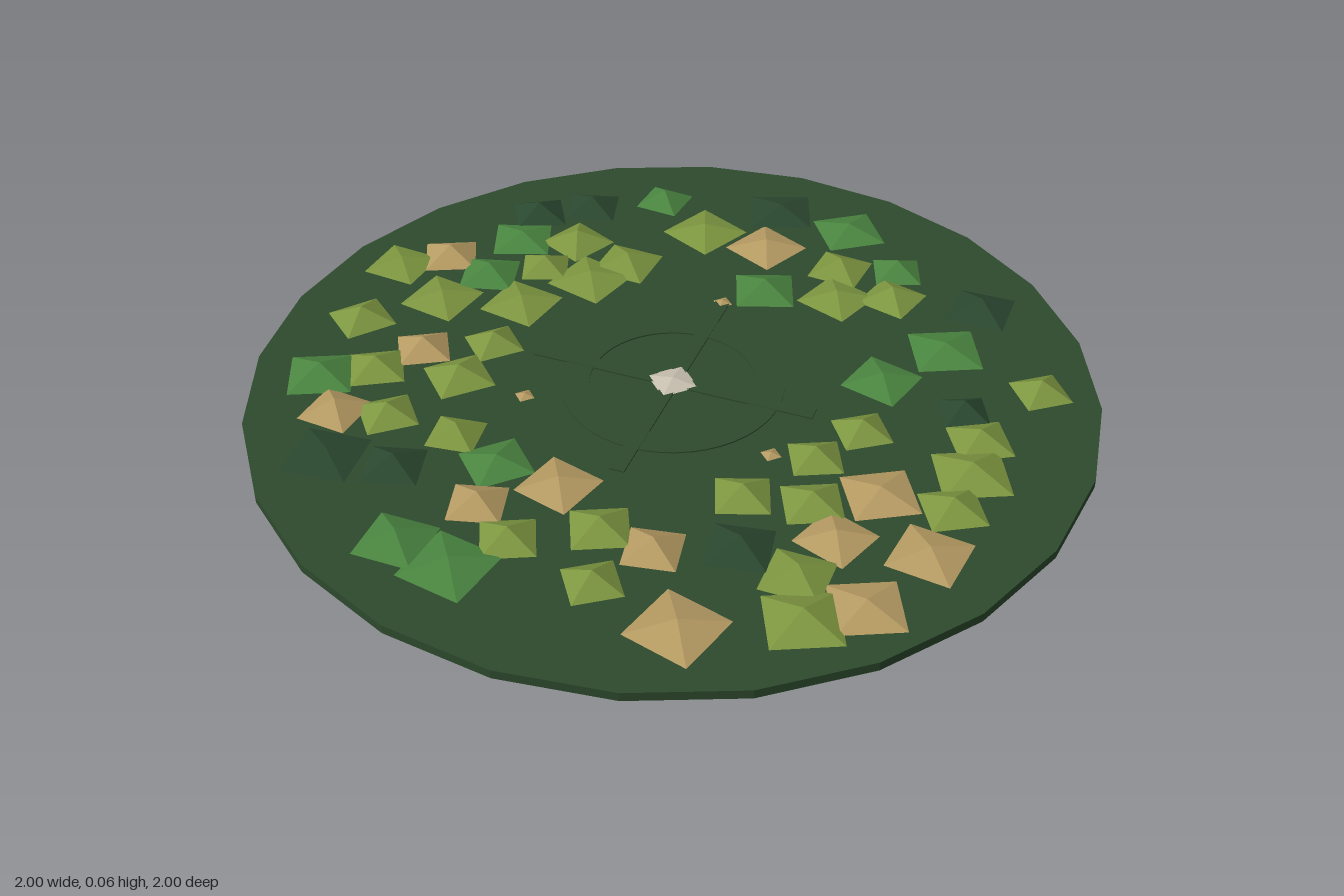
import * as THREE from 'three';

const paint = (name, color) => new THREE.MeshStandardMaterial({ name, color, flatShading: true });
const TOP = 0.022; // ground surface

// Each tent: x, z, half-diagonal, corner angle in degrees
const OLIVE_STEEP = [
  [0.23, -0.6, 0.09, 50], [0.39, -0.52, 0.09, 60], [-0.45, -0.48, 0.095, 70], [-0.29, -0.43, 0.098, 48],
  [-0.48, -0.34, 0.08, 25], [0.82, -0.27, 0.08, 8], [-0.81, 0.03, 0.09, -6], [-0.46, 0.01, 0.08, 0],
  [-0.68, 0.2, 0.09, 15], [-0.48, 0.16, 0.095, 0], [-0.57, 0.35, 0.085, 5], [-0.39, 0.36, 0.08, 38],
  [-0.13, 0.64, 0.085, 20], [0.04, 0.54, 0.09, 20], [0.09, 0.7, 0.08, 10], [0.29, 0.33, 0.085, 25],
  [0.44, 0.3, 0.09, 20], [0.4, 0.15, 0.08, 20], [0.47, 0.02, 0.08, 10], [0.73, -0.04, 0.09, 15],
  [0.74, 0.08, 0.11, 20], [0.73, 0.21, 0.09, 15], [0.48, 0.53, 0.095, 45], [0.53, 0.65, 0.11, 20],
];
const OLIVE_LOW = [
  [-0.155, -0.645, 0.11, 70], [0.26, -0.47, 0.1, 65], [-0.35, -0.33, 0.11, 60],
  [-0.83, -0.22, 0.098, 50], [-0.665, -0.12, 0.105, 55], [-0.47, -0.17, 0.105, 55],
];
const TAN_STEEP = [
  [-0.73, -0.3, 0.09, 20], [-0.61, 0.09, 0.085, 15], [-0.69, 0.38, 0.09, 50],
  [-0.24, 0.56, 0.085, 30], [0.17, 0.56, 0.085, 35],
];
const TAN_LOW = [
  [0.02, -0.63, 0.105, 70], [-0.1, 0.44, 0.1, 60], [0.57, 0.22, 0.105, 15], [0.52, 0.39, 0.095, 65],
  [0.72, 0.37, 0.105, 52], [0.64, 0.57, 0.105, 20], [0.3, 0.76, 0.115, 60],
];
const GREEN_STEEP = [
  [-0.31, -0.75, 0.08, 50], [0.37, -0.64, 0.08, 25], [-0.6, -0.26, 0.095, 30],
  [0.08, -0.44, 0.1, 25], [-0.79, 0.27, 0.105, 20], [-0.35, 0.73, 0.1, 45],
];
const GREEN_LOW = [
  [0.2, -0.78, 0.105, 10], [-0.59, -0.44, 0.1, 25], [0.57, -0.35, 0.11, 20],
  [0.46, -0.18, 0.1, 60], [-0.26, 0.42, 0.095, 0], [-0.21, 0.76, 0.115, 55],
];
const DARK_STEEP = [
  [-0.6, -0.57, 0.09, 15], [-0.48, -0.65, 0.09, 30], [0.67, -0.13, 0.075, 20],
  [-0.47, 0.51, 0.09, 30], [0.34, 0.49, 0.095, 35], [0.61, -0.55, 0.1, 45],
];
const DARK_LOW = [[0, -0.81, 0.11, 25], [-0.63, 0.53, 0.11, 40]];

export function createModel() {
  const model = new THREE.Group();
  model.name = 'campClearing';
  const ground = paint('forestGround', 0x2d4a2d);
  const olive = paint('oliveCanvas', 0x7d9640);
  const tan = paint('tanCanvas', 0xb59a62);
  const green = paint('greenCanvas', 0x4a8540);
  const dark = paint('darkCanvas', 0x2a472f);
  const stone = paint('paleStone', 0xc8c0b0);

  const add = (name, geometry, material, x, y, z, parent = model) => {
    const mesh = new THREE.Mesh(geometry, material);
    mesh.name = name;
    mesh.position.set(x, y, z);
    parent.add(mesh);
    return mesh;
  };

  // Round base
  add('groundDisc', new THREE.CylinderGeometry(1, 1, TOP, 24), ground, 0, TOP / 2, 0);

  // Ring path with two crossing bars
  const ring = new THREE.Shape().absarc(0, 0, 0.265, 0, Math.PI * 2);
  ring.holes.push(new THREE.Path().absarc(0, 0, 0.197, 0, Math.PI * 2, true));
  const ringGeo = new THREE.ExtrudeGeometry(ring, { depth: 0.003, bevelEnabled: false, curveSegments: 24 });
  ringGeo.rotateX(-Math.PI / 2);
  add('ringPath', ringGeo, ground, 0, TOP, 0);
  add('crossPathWide', new THREE.BoxGeometry(0.7, 0.004, 0.036), ground, 0, TOP + 0.002, 0);
  add('crossPathDeep', new THREE.BoxGeometry(0.036, 0.004, 0.7), ground, 0, TOP + 0.002, 0);

  // Low pyramid at the centre and three small markers around it
  add('centreStone', new THREE.ConeGeometry(0.065, 0.012, 4), stone, 0, TOP + 0.009, 0);
  for (let i = 0; i < 3; i++) {
    const a = Math.PI + (i * Math.PI * 2) / 3;
    add('marker', new THREE.ConeGeometry(0.025, 0.008, 4), tan, Math.sin(a) * 0.35, TOP + 0.006, Math.cos(a) * 0.35);
  }

  // Four-sided canopies scattered around the clearing
  const scatter = (name, list, material, height) => {
    const group = new THREE.Group();
    group.name = name;
    for (const [x, z, r, deg] of list) {
      const tent = add('canopy', new THREE.ConeGeometry(r, height, 4), material, x, TOP + height / 2, z, group);
      tent.rotation.y = -THREE.MathUtils.degToRad(deg);
    }
    model.add(group);
  };
  const STEEP = 0.036, LOW = 0.026;
  scatter('oliveCanopiesSteep', OLIVE_STEEP, olive, STEEP);
  scatter('oliveCanopiesLow', OLIVE_LOW, olive, LOW);
  scatter('tanCanopiesSteep', TAN_STEEP, tan, STEEP);
  scatter('tanCanopiesLow', TAN_LOW, tan, LOW);
  scatter('greenCanopiesSteep', GREEN_STEEP, green, STEEP);
  scatter('greenCanopiesLow', GREEN_LOW, green, LOW);
  scatter('darkCanopiesSteep', DARK_STEEP, dark, STEEP);
  scatter('darkCanopiesLow', DARK_LOW, dark, LOW);
  return model;
}
